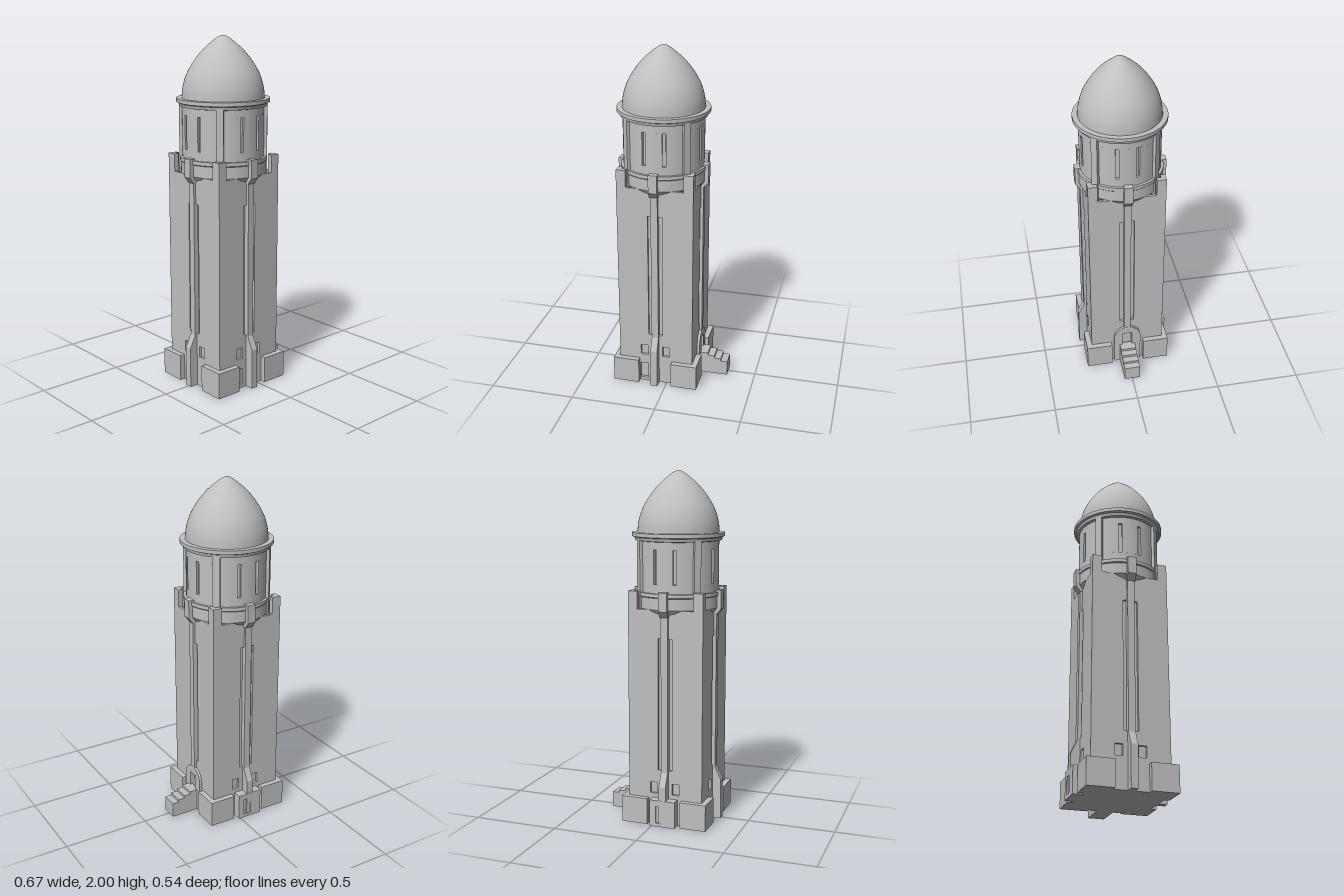
import * as THREE from 'three';
import { toCreasedNormals } from 'three/addons/utils/BufferGeometryUtils.js';

const stone = new THREE.MeshStandardMaterial({ color: 0xc0c0c0 });
stone.name = 'stone';

const HALF = 0.22;   // half width of the shaft
const SKIN = 0.015;  // depth of recesses in the walls

function add(parent, name, geometry, x = 0, y = 0, z = 0) {
  const mesh = new THREE.Mesh(geometry, stone);
  mesh.name = name;
  mesh.position.set(x, y, z);
  parent.add(mesh);
  return mesh;
}

function box(parent, name, x0, x1, y0, y1, z0, z1) {
  return add(parent, name, new THREE.BoxGeometry(x1 - x0, y1 - y0, z1 - z0),
    (x0 + x1) / 2, (y0 + y1) / 2, (z0 + z1) / 2);
}

const polygon = (pts) => new THREE.Shape(pts.map(([x, y]) => new THREE.Vector2(x, y)));
const rect = (x0, x1, y0, y1) => polygon([[x0, y0], [x1, y0], [x1, y1], [x0, y1]]);

// Upright slab with rectangular openings
function slab(parent, name, shape, holes, z0, depth) {
  shape.holes = holes.map((h) => rect(...h));
  return add(parent, name,
    new THREE.ExtrudeGeometry(shape, { depth, bevelEnabled: false, curveSegments: 24 }), 0, 0, z0);
}

// Outline in (z, y) given a width along x
function profileBar(parent, name, pts, width) {
  const g = new THREE.ExtrudeGeometry(polygon(pts), { depth: width, bevelEnabled: false });
  g.translate(0, 0, -width / 2).rotateY(-Math.PI / 2);
  return add(parent, name, g);
}

function lathe(parent, name, pts) {
  const g = new THREE.LatheGeometry(pts.map(([r, y]) => new THREE.Vector2(r, y)), 64);
  return add(parent, name, toCreasedNormals(g, 0.5));
}

// Curved piece of wall between two angles
function arcWall(parent, name, r0, r1, a0, a1, y0, y1) {
  const s = new THREE.Shape();
  s.absarc(0, 0, r1, a0, a1, false);
  s.absarc(0, 0, r0, a1, a0, true);
  const g = new THREE.ExtrudeGeometry(s, { depth: y1 - y0, bevelEnabled: false, curveSegments: 14 });
  g.rotateX(-Math.PI / 2);
  add(parent, name, toCreasedNormals(g, 0.5), 0, y0, 0);
}

function buildSide(tower, name, angle) {
  const side = new THREE.Group();
  side.name = name;
  side.rotation.y = angle;
  tower.add(side);
  const entrance = name === 'rightSide';

  // Wall skin with tall recess, small windows and doors
  const holes = [[-0.042, 0.042, 0.32, 1.08]];
  if (entrance) holes.push([-0.028, 0.028, 0.12, 0.225]);
  else holes.push([-0.09, -0.047, 0.18, 0.245], [0.042, 0.085, 0.18, 0.245]);
  if (name === 'frontSide') holes.push([-0.094, -0.046, 0.02, 0.12]);
  slab(side, 'wall', rect(-HALF, HALF, 0, 1.24), holes, HALF - SKIN, SKIN);

  // Pilaster, with a sloped buttress at its foot
  const foot = entrance
    ? [[0.2, 0.26], [0.234, 0.26]]
    : [[0.2, 0], [0.27, 0], [0.27, 0.235], [0.234, 0.31]];
  profileBar(side, 'pilaster', [...foot, [0.234, 1.21], [0.2, 1.21]], 0.04);
  profileBar(side, 'bracket',
    [[0.2, 1.2], [0.234, 1.2], [0.262, 1.235], [0.262, 1.34], [0.225, 1.34], [0.2, 1.3]], 0.05);

  if (entrance) {
    // Arched surround and steps
    const arch = new THREE.Shape();
    arch.moveTo(-0.082, 0);
    arch.lineTo(0.082, 0);
    arch.lineTo(0.082, 0.193);
    arch.absarc(0, 0.193, 0.082, 0, Math.PI, false);
    arch.lineTo(-0.082, 0);
    slab(side, 'archSurround', arch, [[-0.028, 0.028, 0.12, 0.225]], HALF, 0.015);
    [0.135, 0.12, 0.105, 0.09].forEach((h, i) => {
      const z = 0.28 + i * 0.04;
      box(side, 'step', -0.047, 0.047, 0, h, i ? z - 0.04 : 0.22, z);
    });
  }
  if (name === 'backSide') {
    // Low annex with a recessed doorway
    box(side, 'annexCore', -0.075, 0.075, 0, 0.155, 0.2, 0.26);
    slab(side, 'annexFace', rect(-0.075, 0.075, 0, 0.155), [[-0.04, 0.005, 0.02, 0.12]], 0.26, 0.012);
  }
}

export function createModel() {
  const model = new THREE.Group();
  model.name = 'domedTower';
  const tower = new THREE.Group();
  tower.name = 'tower';
  tower.position.x = -0.065;
  model.add(tower);

  // Shaft
  const c = HALF - SKIN;
  box(tower, 'shaftCore', -c, c, 0, 1.22, -c, c);
  ['frontSide', 'rightSide', 'backSide', 'leftSide'].forEach((name, i) =>
    buildSide(tower, name, i * Math.PI / 2));

  // Corner plinths and L-shaped corner battlements
  for (let i = 0; i < 4; i++) {
    const corner = new THREE.Group();
    corner.name = 'corner';
    corner.rotation.y = i * Math.PI / 2;
    tower.add(corner);
    box(corner, 'plinth', 0.098, 0.252, 0, 0.152, 0.098, 0.252);
    box(corner, 'battlementFront', 0.166, HALF, 1.2, 1.34, 0.193, HALF);
    box(corner, 'battlementSide', 0.193, HALF, 1.2, 1.34, 0.166, HALF);
  }

  // Drum base with a corbelled underside and a moulding
  lathe(tower, 'drumBase', [[0.205, 1.19], [0.24, 1.24], [0.24, 1.305], [0.245, 1.31],
    [0.245, 1.33], [0.2, 1.33]]);

  // Drum wall with paired slit windows
  lathe(tower, 'drumCore', [[0.214, 1.32], [0.214, 1.64]]);
  arcWall(tower, 'drumLowerWall', 0.2, 0.23, 0, Math.PI, 1.32, 1.38);
  arcWall(tower, 'drumLowerWall', 0.2, 0.23, Math.PI, 2 * Math.PI, 1.32, 1.38);
  arcWall(tower, 'drumUpperWall', 0.2, 0.23, 0, Math.PI, 1.57, 1.64);
  arcWall(tower, 'drumUpperWall', 0.2, 0.23, Math.PI, 2 * Math.PI, 1.57, 1.64);
  const near = 0.21, far = 0.295;  // window edges either side of each axis
  for (let i = 0; i < 4; i++) {
    const a = i * Math.PI / 2;
    arcWall(tower, 'drumPier', 0.2, 0.23, a - near, a + near, 1.38, 1.57);
    arcWall(tower, 'drumPier', 0.2, 0.23, a + far, a + Math.PI / 2 - far, 1.38, 1.57);
    const rib = new THREE.Group();
    rib.name = 'drumRib';
    rib.rotation.y = a + Math.PI / 4;
    tower.add(rib);
    box(rib, 'rib', -0.02, 0.02, 1.22, 1.635, 0.21, 0.247);
  }

  // Cornice and pointed dome
  lathe(tower, 'cornice', [[0.22, 1.61], [0.245, 1.615], [0.25, 1.632], [0.262, 1.637],
    [0.262, 1.658], [0.2, 1.658]]);
  const curve = new THREE.SplineCurve([[0.232, 1.655], [0.226, 1.715], [0.205, 1.785], [0.167, 1.853],
    [0.118, 1.915], [0.065, 1.963], [0.025, 1.992], [0, 2]].map(([r, y]) => new THREE.Vector2(r, y)));
  add(tower, 'dome', new THREE.LatheGeometry(curve.getPoints(32).map((p) =>
    new THREE.Vector2(Math.max(0, p.x), Math.min(2, p.y))), 64));

  return model;
}
